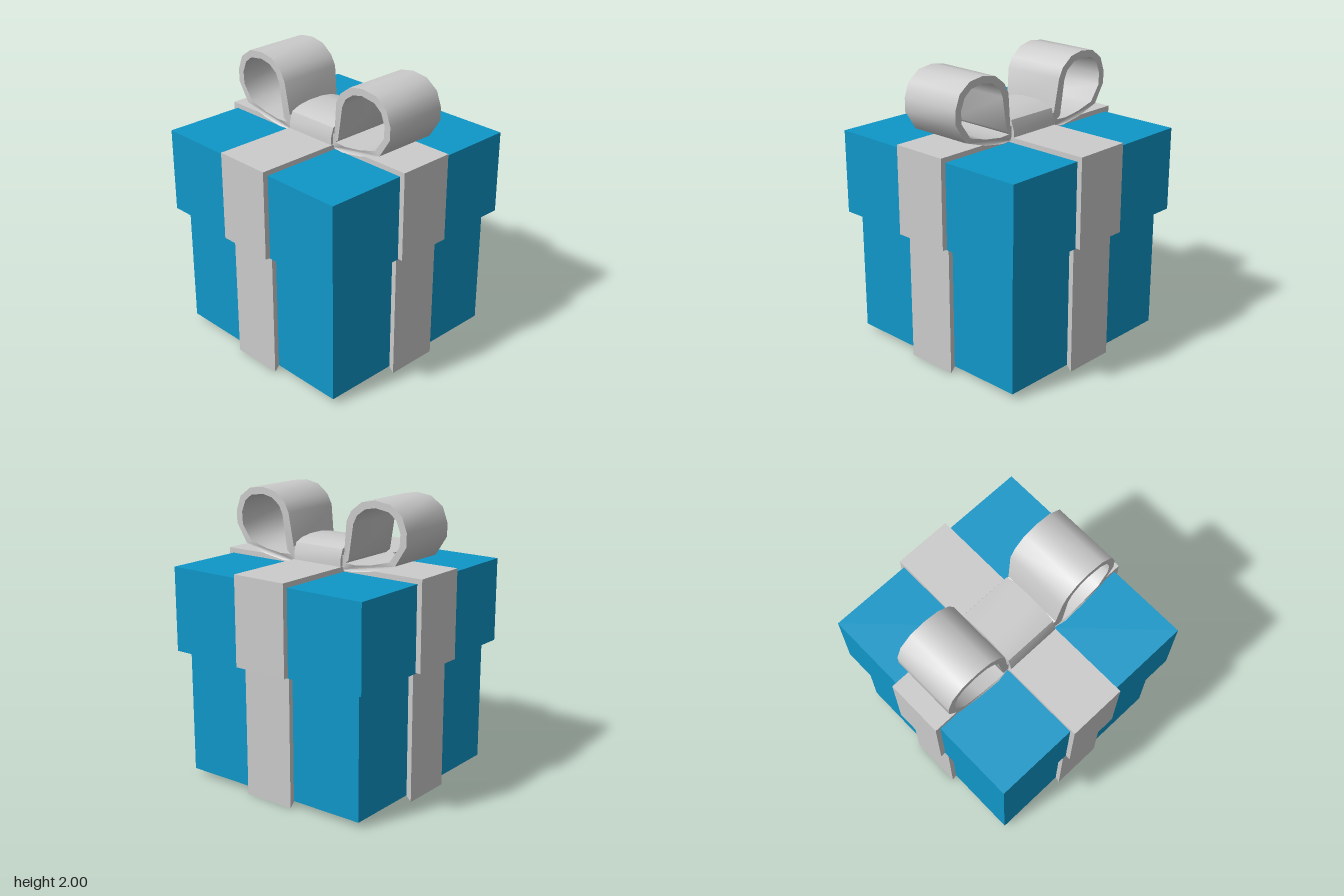
import * as THREE from 'three';
import { toCreasedNormals } from 'three/addons/utils/BufferGeometryUtils.js';

const blue = new THREE.MeshStandardMaterial({ color: 0x0f97c8 });
const grey = new THREE.MeshStandardMaterial({ color: 0xcccccc });

const toPoints = (list) => list.map(([a, b]) => new THREE.Vector2(a, b));

// Extrude a profile, centred on its depth
function slab(outline, width, hole) {
  const shape = new THREE.Shape(toPoints(outline));
  if (hole) shape.holes.push(new THREE.Path(toPoints(hole)));
  const geometry = new THREE.ExtrudeGeometry(shape, { depth: width, bevelEnabled: false });
  return geometry.translate(0, 0, -width / 2);
}

function addMesh(parent, name, geometry, material) {
  const mesh = new THREE.Mesh(geometry, material);
  mesh.name = name;
  parent.add(mesh);
  return mesh;
}

function addBlock(parent, name, size, bottom, top) {
  const geometry = new THREE.BoxGeometry(size, top - bottom, size);
  geometry.translate(0, (bottom + top) / 2, 0);
  addMesh(parent, name, geometry, blue);
}

// Join a half profile (listed for +x) to its mirror image
const mirrored = (half) => [...half, ...half.map(([x, y]) => [-x, y]).reverse()];

export function createModel() {
  const gift = new THREE.Group();
  gift.name = 'giftBox';

  addBlock(gift, 'boxBase', 1.44, 0.04, 0.91);
  addBlock(gift, 'boxLid', 1.57, 0.91, 1.5);

  // Ribbon under and up the base, with pointed flaps at the foot
  const baseBand = mirrored([[0.715, 0.05], [0.715, 0.91], [0.755, 0.91], [0.755, 0], [0.72, 0.038]]);
  // Ribbon over the lid
  const lidBand = mirrored([[0.78, 1.49], [0.78, 0.915], [0.822, 0.915], [0.822, 1.535]]);
  for (const [i, direction] of ['Across', 'FrontToBack'].entries()) {
    addMesh(gift, 'baseRibbon' + direction, slab(baseBand, 0.375), grey).rotation.y = i * Math.PI / 2;
    addMesh(gift, 'lidRibbon' + direction, slab(lidBand, 0.41), grey).rotation.y = i * Math.PI / 2;
  }

  const bow = new THREE.Group();
  bow.name = 'bow';
  gift.add(bow);

  // Bow loop profile in (z, y)
  const outer = [
    [0.18, 1.51], [0.3, 1.515], [0.46, 1.54], [0.633, 1.597], [0.718, 1.73], [0.718, 1.82],
    [0.68, 1.92], [0.59, 1.985], [0.474, 2], [0.368, 1.98], [0.283, 1.915], [0.246, 1.846],
    [0.215, 1.618], [0.18, 1.6],
  ];
  const inner = [
    [0.235, 1.565], [0.32, 1.562], [0.45, 1.58], [0.59, 1.618], [0.665, 1.724], [0.67, 1.81],
    [0.638, 1.89], [0.58, 1.936], [0.474, 1.952], [0.395, 1.936], [0.33, 1.89], [0.3, 1.83],
    [0.262, 1.59],
  ];
  const loop = slab(outer, 0.466, inner).rotateY(-Math.PI / 2);
  // Pinch the loop's width where it enters the knot
  const pos = loop.attributes.position;
  for (let i = 0; i < pos.count; i++) {
    const pinch = THREE.MathUtils.mapLinear(pos.getZ(i), 0.2, 0.245, 0.91, 1);
    pos.setX(i, pos.getX(i) * Math.min(1, Math.max(0.9, pinch)));
  }
  const loopGeometry = toCreasedNormals(loop, 0.8);
  addMesh(bow, 'frontLoop', loopGeometry, grey);
  addMesh(bow, 'backLoop', loopGeometry, grey).rotation.y = Math.PI;

  // Knot with a gently arched top
  const knot = mirrored([[0.235, 1.51], [0.235, 1.58], [0.212, 1.65], [0.15, 1.675], [0.06, 1.688]]);
  addMesh(bow, 'knot', toCreasedNormals(slab(knot, 0.395), 0.6), grey);

  return gift;
}
